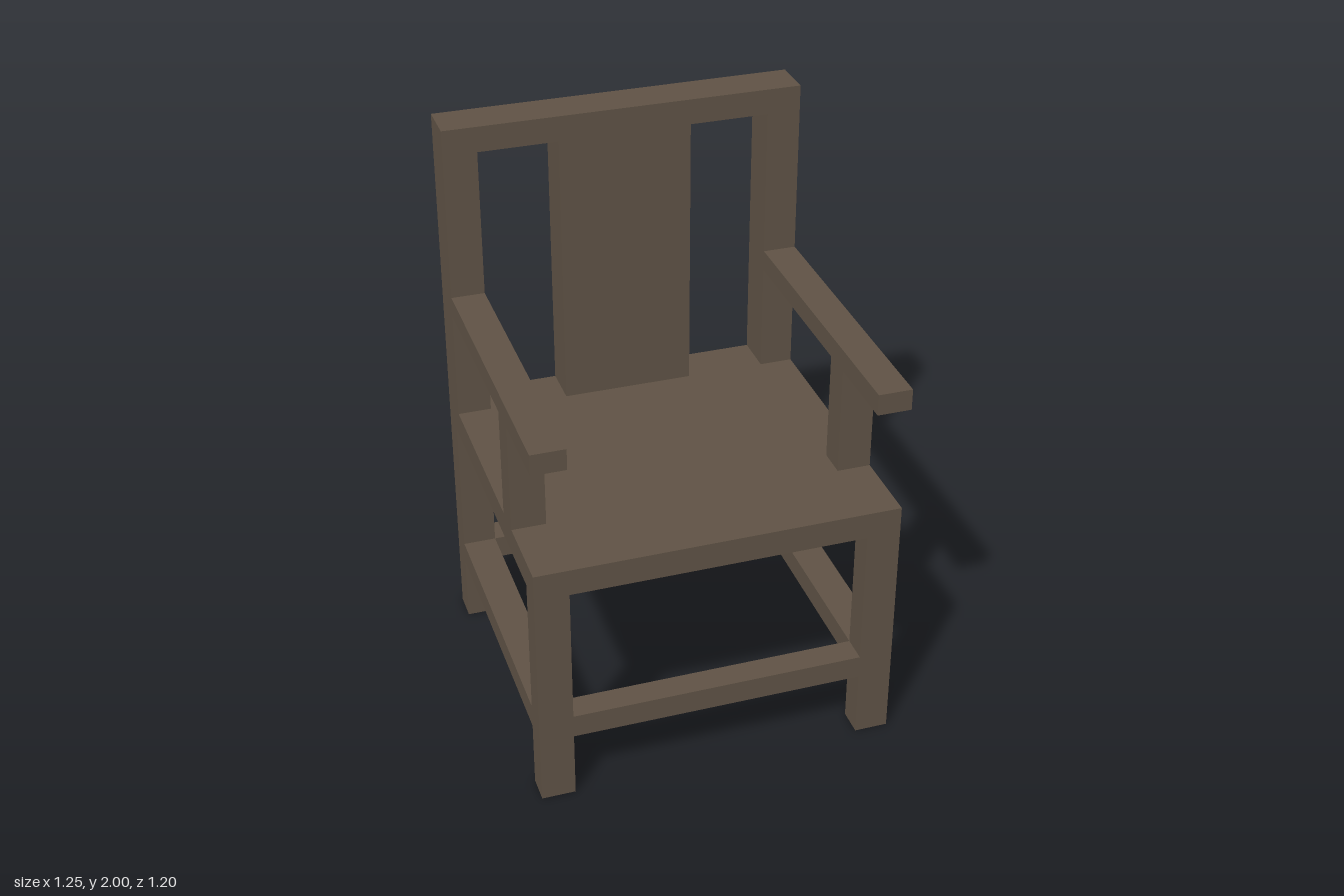
import * as THREE from 'three';

export function createModel() {
  const chair = new THREE.Group();
  chair.name = 'armchair';
  const wood = new THREE.MeshStandardMaterial({ color: 0x5f5245 });
  wood.name = 'dark wood';

  const OUT = 0.627, IN = 0.51;          // outer and inner faces of the side members
  const BACK = -0.598, FRONT = 0.58;     // back and front of the seat
  const BACK_IN = -0.495, FRONT_IN = 0.485; // inner faces of the legs
  const SEAT_LOW = 0.825, SEAT_TOP = 0.92, BACKREST_FRONT = -0.447;

  // Box given by its extents along each axis
  function bar(name, [x0, x1], [y0, y1], [z0, z1]) {
    const mesh = new THREE.Mesh(new THREE.BoxGeometry(x1 - x0, y1 - y0, z1 - z0), wood);
    mesh.position.set((x0 + x1) / 2, (y0 + y1) / 2, (z0 + z1) / 2);
    mesh.name = name;
    chair.add(mesh);
  }

  bar('seat', [-OUT, OUT], [SEAT_LOW, SEAT_TOP], [BACK, FRONT]);

  // Legs, side stretchers and arms, mirrored
  for (const side of [1, -1]) {
    const label = side > 0 ? 'left' : 'right';
    const x = side > 0 ? [IN, OUT] : [-OUT, -IN];
    bar(label + 'FrontLeg', x, [0, SEAT_LOW], [FRONT_IN, FRONT]);
    bar(label + 'BackLeg', x, [0, SEAT_LOW], [BACK, BACK_IN]);
    bar(label + 'Stretcher', x, [0.242, 0.326], [BACK_IN, FRONT_IN]);
    bar(label + 'ArmPost', x, [SEAT_TOP, 1.31], [0.203, 0.307]);
    bar(label + 'Armrest', x, [1.31, 1.385], [BACKREST_FRONT, 0.598]);
  }

  // Front and back stretchers
  bar('frontStretcher', [-IN, IN], [0.242, 0.326], [FRONT_IN, FRONT]);
  bar('backStretcher', [-IN, IN], [0.242, 0.326], [BACK, BACK_IN]);

  // Backrest: posts, top rail and central splat, all flush
  const outline = new THREE.Shape();
  const points = [
    [-OUT, SEAT_TOP], [-IN, SEAT_TOP], [-IN, 1.91], [-0.232, 1.91], [-0.232, SEAT_TOP],
    [0.232, SEAT_TOP], [0.232, 1.91], [IN, 1.91], [IN, SEAT_TOP], [OUT, SEAT_TOP],
    [OUT, 2], [-OUT, 2],
  ];
  outline.setFromPoints(points.map(([x, y]) => new THREE.Vector2(x, y)));
  const backrest = new THREE.Mesh(
    new THREE.ExtrudeGeometry(outline, { depth: BACKREST_FRONT - BACK, bevelEnabled: false }), wood);
  backrest.position.z = BACK;
  backrest.name = 'backrest';
  chair.add(backrest);

  return chair;
}
